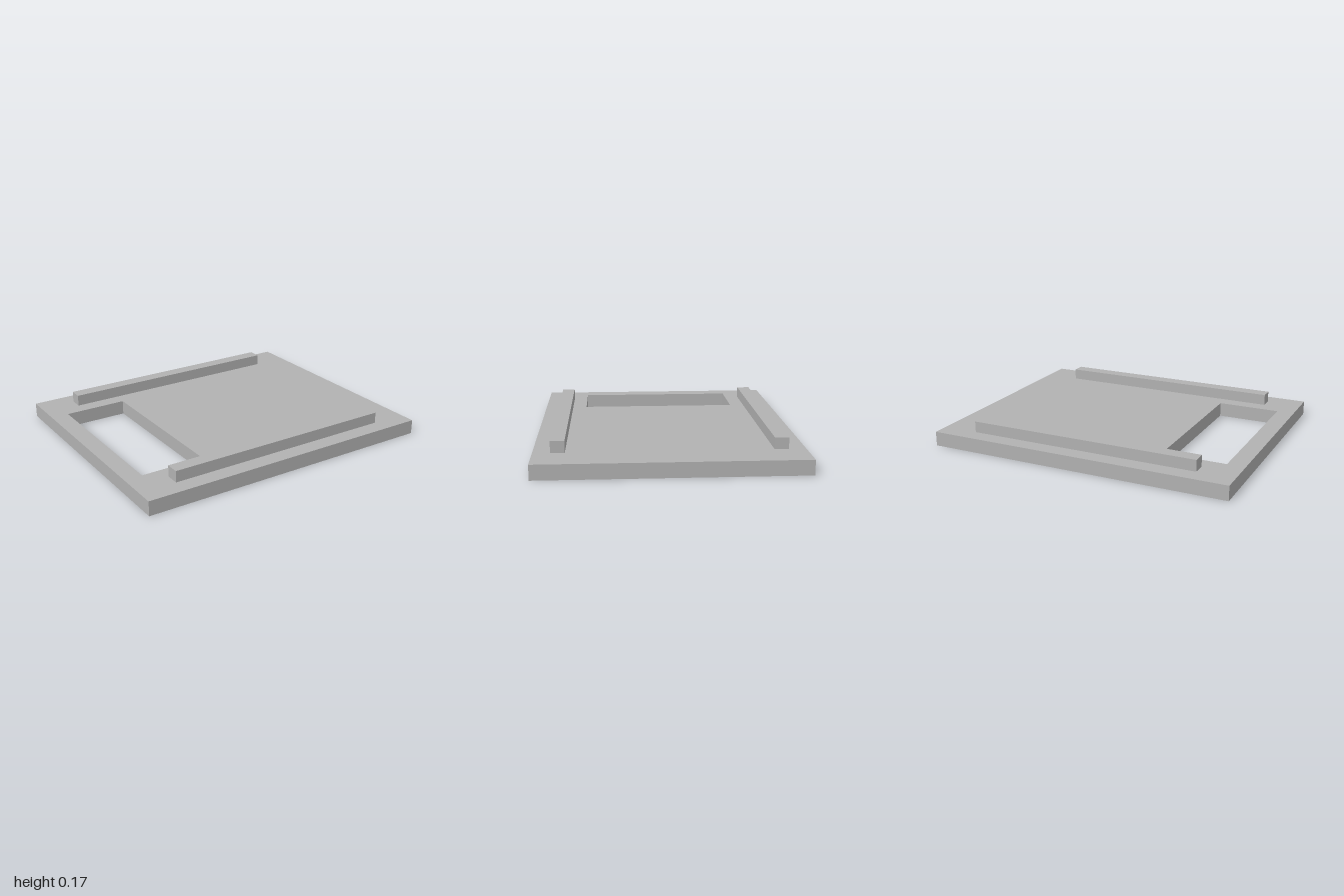
import * as THREE from 'three';

const PLATE = { halfX: 1, halfZ: 0.82, height: 0.094 };
const SLOT = { x0: -0.885, x1: -0.47, halfZ: 0.53 };
const RAIL = { length: 1.526, height: 0.073, depth: 0.087, z: 0.67 };

// Adds a closed rectangle to a shape or hole path
function rectangle(path, x0, y0, x1, y1) {
  path.moveTo(x0, y0);
  path.lineTo(x1, y0);
  path.lineTo(x1, y1);
  path.lineTo(x0, y1);
  path.closePath();
  return path;
}

export function createModel() {
  const model = new THREE.Group();
  model.name = 'slottedPlate';
  const grey = new THREE.MeshStandardMaterial({ color: 0xb2b2b2 });
  grey.name = 'grey';

  // Base plate with a rectangular opening near its right side
  const outline = rectangle(new THREE.Shape(), -PLATE.halfX, -PLATE.halfZ, PLATE.halfX, PLATE.halfZ);
  outline.holes.push(rectangle(new THREE.Path(), SLOT.x0, -SLOT.halfZ, SLOT.x1, SLOT.halfZ));
  const plateGeometry = new THREE.ExtrudeGeometry(outline, { depth: PLATE.height, bevelEnabled: false });
  plateGeometry.rotateX(-Math.PI / 2);
  const plate = new THREE.Mesh(plateGeometry, grey);
  plate.name = 'basePlate';
  model.add(plate);

  // Matching rails along the front and back edges
  const railGeometry = new THREE.BoxGeometry(RAIL.length, RAIL.height, RAIL.depth);
  for (const [name, side] of [['frontRail', 1], ['backRail', -1]]) {
    const rail = new THREE.Mesh(railGeometry, grey);
    rail.name = name;
    rail.position.set(0, PLATE.height + RAIL.height / 2, side * RAIL.z);
    model.add(rail);
  }

  return model;
}
